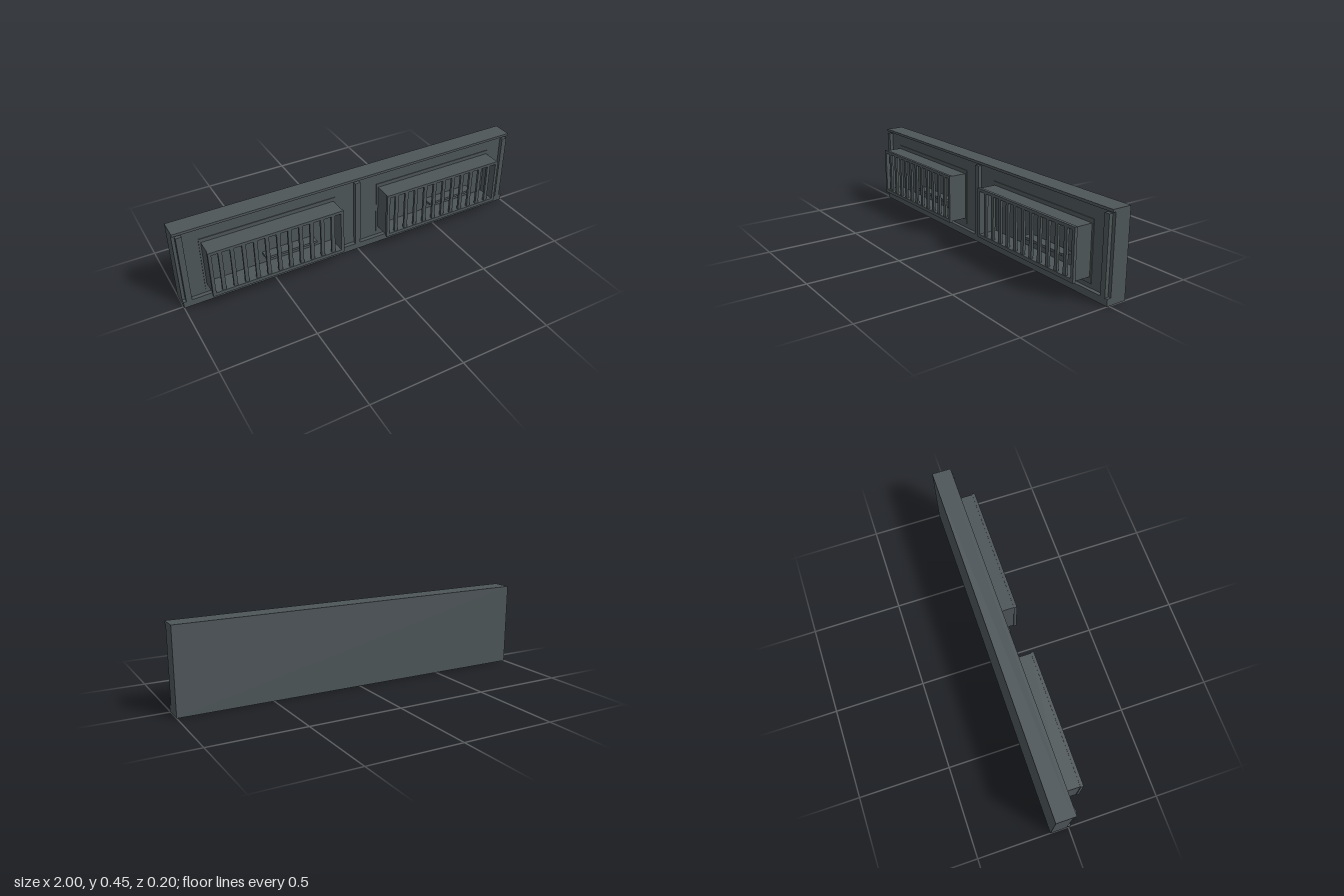
import * as THREE from 'three';

export function createModel() {
  const model = new THREE.Group();
  model.name = 'wallPanel';
  const slate = new THREE.MeshStandardMaterial({ color: 0x4d5558 });
  slate.name = 'slateGrey';

  // Box given by its limits on each axis
  function box(parent, name, x0, x1, y0, y1, z0, z1) {
    const mesh = new THREE.Mesh(new THREE.BoxGeometry(x1 - x0, y1 - y0, z1 - z0), slate);
    mesh.position.set((x0 + x1) / 2, (y0 + y1) / 2, (z0 + z1) / 2);
    mesh.name = name;
    parent.add(mesh);
  }

  // Rectangular frame with an opening, extruded from z0 to z1
  function frame(parent, name, halfW, y0, y1, innerHalfW, iy0, iy1, z0, z1) {
    const shape = new THREE.Shape();
    shape.moveTo(-halfW, y0).lineTo(halfW, y0).lineTo(halfW, y1).lineTo(-halfW, y1).closePath();
    const hole = new THREE.Path();
    hole.moveTo(-innerHalfW, iy0).lineTo(-innerHalfW, iy1).lineTo(innerHalfW, iy1).lineTo(innerHalfW, iy0).closePath();
    shape.holes.push(hole);
    const geometry = new THREE.ExtrudeGeometry(shape, { depth: z1 - z0, bevelEnabled: false });
    const mesh = new THREE.Mesh(geometry, slate);
    mesh.position.z = z0;
    mesh.name = name;
    parent.add(mesh);
  }

  // Wall slab with its top lip and bottom plinth
  box(model, 'wallSlab', -1, 1, 0, 0.453, -0.1, -0.01);
  box(model, 'topLip', -1, 1, 0.439, 0.453, -0.01, 0.006);
  box(model, 'plinth', -1, 1, 0, 0.037, -0.01, 0.012);

  // Upright strips at both ends and in the middle
  for (const x of [-0.97, 0, 0.97]) {
    box(model, 'uprightStrip', x - 0.015, x + 0.015, 0.034, 0.43, -0.007, 0.013);
  }

  // Two barred window boxes
  for (const x of [-0.5, 0.5]) {
    const cage = new THREE.Group();
    cage.name = 'windowCage';
    cage.position.x = x;
    box(cage, 'backPlate', -0.374, 0.374, 0.06, 0.372, -0.01, -0.006);
    frame(cage, 'cageWalls', 0.364, 0.092, 0.351, 0.351, 0.105, 0.338, -0.006, 0.084);
    frame(cage, 'frontFrame', 0.368, 0.086, 0.354, 0.351, 0.105, 0.338, 0.084, 0.1);
    for (let i = -5; i <= 5; i++) {
      box(cage, 'bar', i * 0.0612 - 0.01, i * 0.0612 + 0.01, 0.105, 0.338, 0.084, 0.097);
    }
    // Small inner shelf, off centre
    box(cage, 'innerShelf', -0.055, 0.235, 0.162, 0.175, -0.006, 0.048);
    model.add(cage);
  }
  return model;
}
